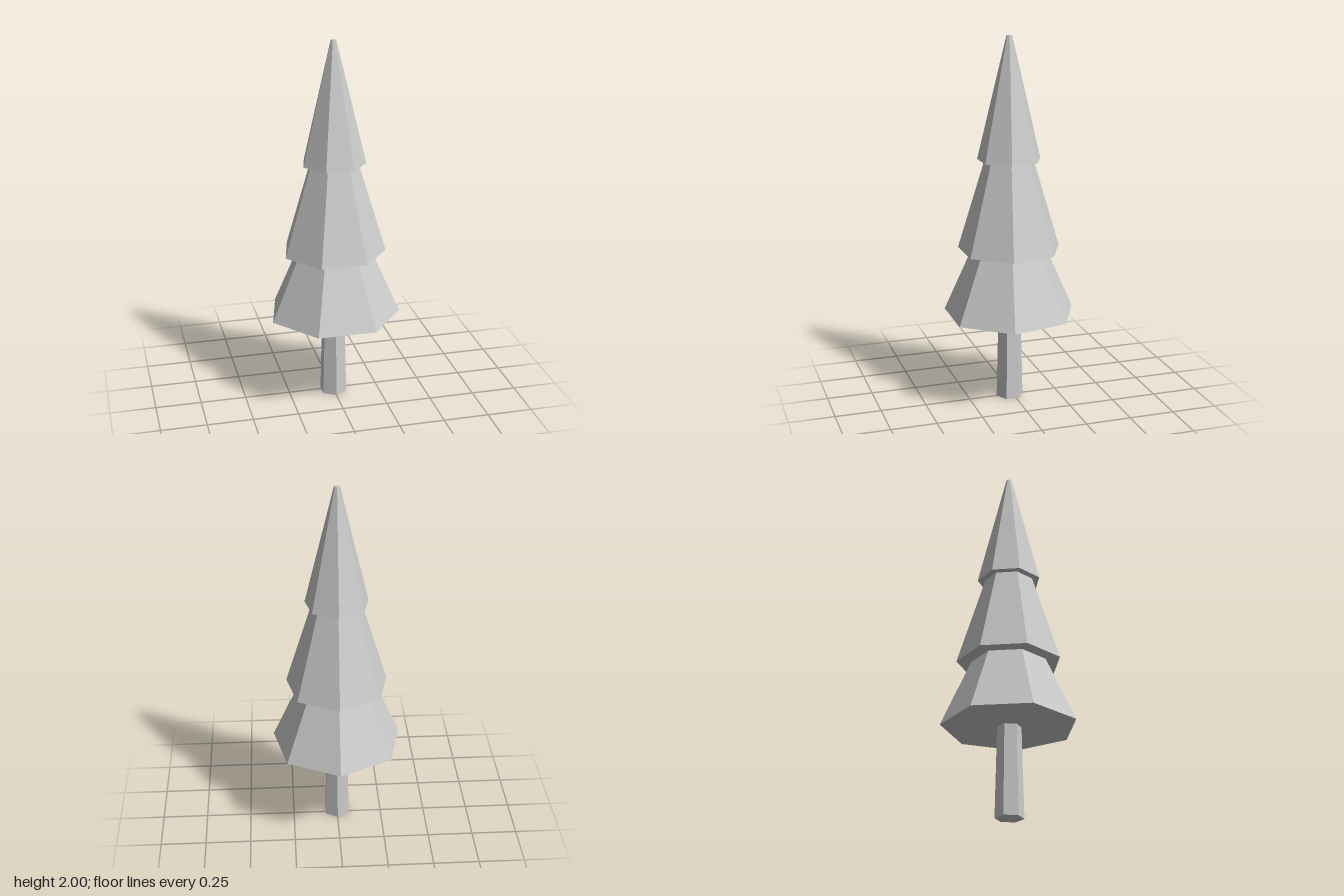
import * as THREE from 'three';

export function createModel() {
  const group = new THREE.Group();
  const grey = new THREE.MeshStandardMaterial({ color: 0xcccccc, flatShading: true });
  grey.name = 'light grey';

  // Closed faceted frustum standing between two heights, one corner facing the back
  function frustum(name, sides, bottomRadius, topRadius, y0, y1) {
    const geometry = new THREE.CylinderGeometry(topRadius, bottomRadius, y1 - y0, sides);
    geometry.rotateY(Math.PI);
    const mesh = new THREE.Mesh(geometry, grey);
    mesh.name = name;
    mesh.position.set(0, (y0 + y1) / 2, 0.018);
    group.add(mesh);
  }

  // Six-sided tapered trunk
  frustum('trunk', 6, 0.076, 0.064, 0, 0.49);

  // Seven-sided foliage tiers, each sitting on the one below
  frustum('lowerFoliage', 7, 0.363, 0.204, 0.49, 0.85);
  frustum('middleFoliage', 7, 0.283, 0.133, 0.85, 1.342);
  frustum('upperFoliage', 7, 0.174, 0.015, 1.342, 2);

  return group;
}
